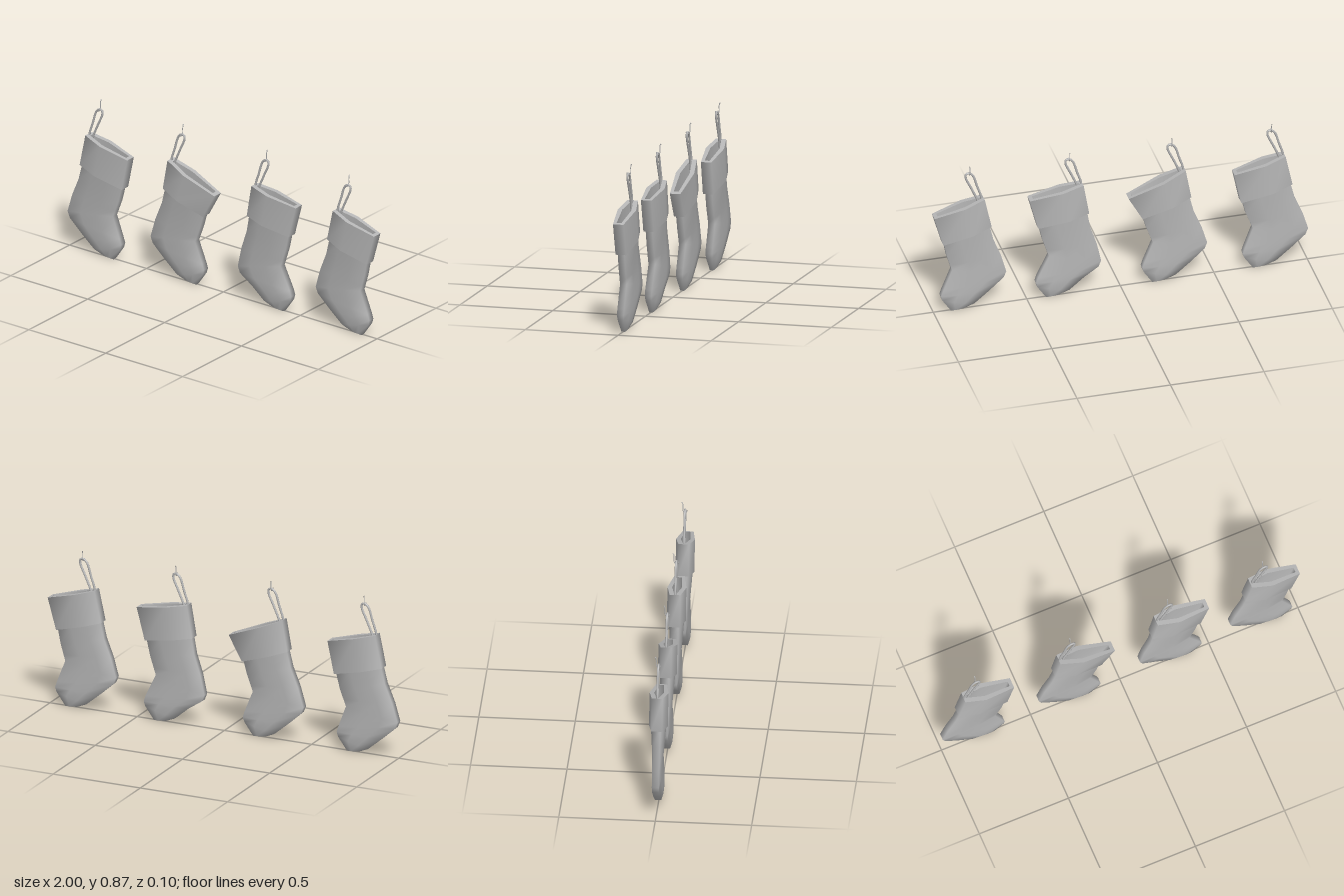
import * as THREE from 'three';
import { mergeGeometries } from 'three/addons/utils/BufferGeometryUtils.js';

// Closed ring between a left and a right point; profile = [fraction across, half depth]
function ring(L, R, profile) {
  const at = ([f, z], s) => [L[0] + (R[0] - L[0]) * f, L[1] + (R[1] - L[1]) * f, z * s];
  return [...profile.map(p => at(p, 1)), ...[...profile].reverse().map(p => at(p, -1))];
}

// Smooth skin through rings listed from top to bottom
function loft(rings) {
  const n = rings[0].length, index = [];
  for (let i = 0; i < rings.length - 1; i++) {
    for (let j = 0; j < n; j++) {
      const a = i * n + j, b = i * n + (j + 1) % n;
      index.push(a, a + n, b, b, a + n, b + n);
    }
  }
  const g = new THREE.BufferGeometry();
  g.setAttribute('position', new THREE.Float32BufferAttribute(rings.flat(2), 3));
  g.setIndex(index);
  g.computeVertexNormals();
  return g;
}

function tube(points, radius, closed, segments) {
  const curve = new THREE.CatmullRomCurve3(points.map(p => new THREE.Vector3(...p)), closed);
  return new THREE.TubeGeometry(curve, segments, radius, 8, closed);
}

const mix = (a, b, t) => [a[0] + (b[0] - a[0]) * t, a[1] + (b[1] - a[1]) * t];

// Folded cuff with a hard-edged rim, hollow inside
function cuffGeometry({ TL, TR, BL, BR }) {
  const outer = [[0, 0.028], [0.4, 0.049], [1, 0.028]];
  const inner = [[0.06, 0.006], [0.4, 0.025], [0.93, 0.013]];
  const lip = [[0.03, 0.018], [0.4, 0.034], [0.97, 0.018]];
  const top = ring(TL, TR, outer), mouth = ring(TL, TR, inner);
  const bottom = ring(BL, BR, outer);
  const fL = mix(TL, BL, 0.8), fR = mix(TR, BR, 0.8);
  const floor = ring(fL, fR, inner);
  const centre = ring(mix(fL, fR, 0.5), mix(fL, fR, 0.5), inner.map(([f]) => [f, 0]));
  return mergeGeometries([
    loft([centre, floor]), loft([floor, mouth]), loft([mouth, top]),
    loft([top, bottom]), loft([bottom, ring(BL, BR, lip)]),
  ]);
}

// Leg and foot: rings run from under the cuff down to the toe
function bodyGeometry({ BL, BR, TL, TR, heel, ankle, shift }) {
  const prof = (end, mid) => [[0, end], [0.3, mid], [0.65, mid], [1, end]];
  const uL = mix(BL, TL, 0.08), uR = mix(BR, TR, 0.08);
  const s = ([x, y]) => [x + shift, y];
  const tip = s([0.065, 0.008]);
  return loft([
    ring(mix(uL, uR, 0.03), mix(uL, uR, 0.97), prof(0.018, 0.038)),
    ring([mix(BL, heel, 0.3)[0] + 0.012, mix(BL, heel, 0.3)[1]], mix(BR, ankle, 0.45), prof(0.018, 0.031)),
    ring(mix(BL, heel, 0.65), mix(BR, ankle, 0.8), prof(0.018, 0.026)),
    ring(heel, ankle, prof(0.018, 0.025)),
    ring([heel[0] + 0.014, heel[1] - 0.035], s([0.145, 0.135]), prof(0.018, 0.025)),
    ring(s([-0.1, 0.1]), s([0.155, 0.104]), prof(0.018, 0.025)),
    ring(s([-0.023, 0.035]), s([0.148, 0.078]), prof(0.016, 0.024)),
    ring(s([0.032, 0.011]), s([0.1, 0.006]), prof(0.01, 0.012)),
    ring(tip, tip, prof(0, 0)),
  ]);
}

const stockings = [
  { x: -0.807, TL: [-0.07, 0.665], TR: [0.203, 0.596], BL: [-0.107, 0.49], BR: [0.166, 0.42],
    heel: [-0.193, 0.205], ankle: [0.102, 0.25], shift: 0 },
  { x: -0.273, TL: [-0.07, 0.665], TR: [0.235, 0.543], BL: [-0.1, 0.5], BR: [0.16, 0.408],
    heel: [-0.187, 0.205], ankle: [0.102, 0.25], shift: 0.004 },
  { x: 0.273, TL: [-0.07, 0.665], TR: [0.217, 0.615], BL: [-0.1, 0.49], BR: [0.171, 0.44],
    heel: [-0.166, 0.187], ankle: [0.112, 0.257], shift: 0.026 },
  { x: 0.807, TL: [-0.075, 0.665], TR: [0.193, 0.59], BL: [-0.112, 0.495], BR: [0.145, 0.42],
    heel: [-0.193, 0.205], ankle: [0.097, 0.255], shift: 0 },
];

export function createModel() {
  const model = new THREE.Group();
  model.name = 'hangingStockings';
  const grey = new THREE.MeshStandardMaterial({ color: 0xb6b6b6 });
  grey.name = 'plainGrey';

  // Hanging loop and wire hook are shared by every stocking
  const loop = tube([
    [0.002, 0.822, 0], [-0.018, 0.806, 0], [-0.042, 0.735, 0], [-0.064, 0.66, 0],
    [-0.054, 0.61, 0], [-0.042, 0.655, 0], [-0.01, 0.73, 0], [0.02, 0.8, 0], [0.017, 0.819, 0],
  ], 0.006, true, 48);
  const hook = tube([
    [0, 0.826, 0.009], [0, 0.815, 0.008], [0, 0.813, -0.004], [0, 0.822, -0.01],
    [0, 0.855, -0.011], [0, 0.867, -0.013], [0, 0.872, -0.018],
  ], 0.0025, false, 24);

  stockings.forEach((s, i) => {
    const group = new THREE.Group();
    group.name = `stocking${i + 1}`;
    group.position.x = s.x;
    const parts = { cuff: cuffGeometry(s), legAndFoot: bodyGeometry(s), hangingLoop: loop, wireHook: hook };
    for (const [name, geometry] of Object.entries(parts)) {
      const mesh = new THREE.Mesh(geometry, grey);
      mesh.name = name;
      group.add(mesh);
    }
    model.add(group);
  });
  return model;
}
